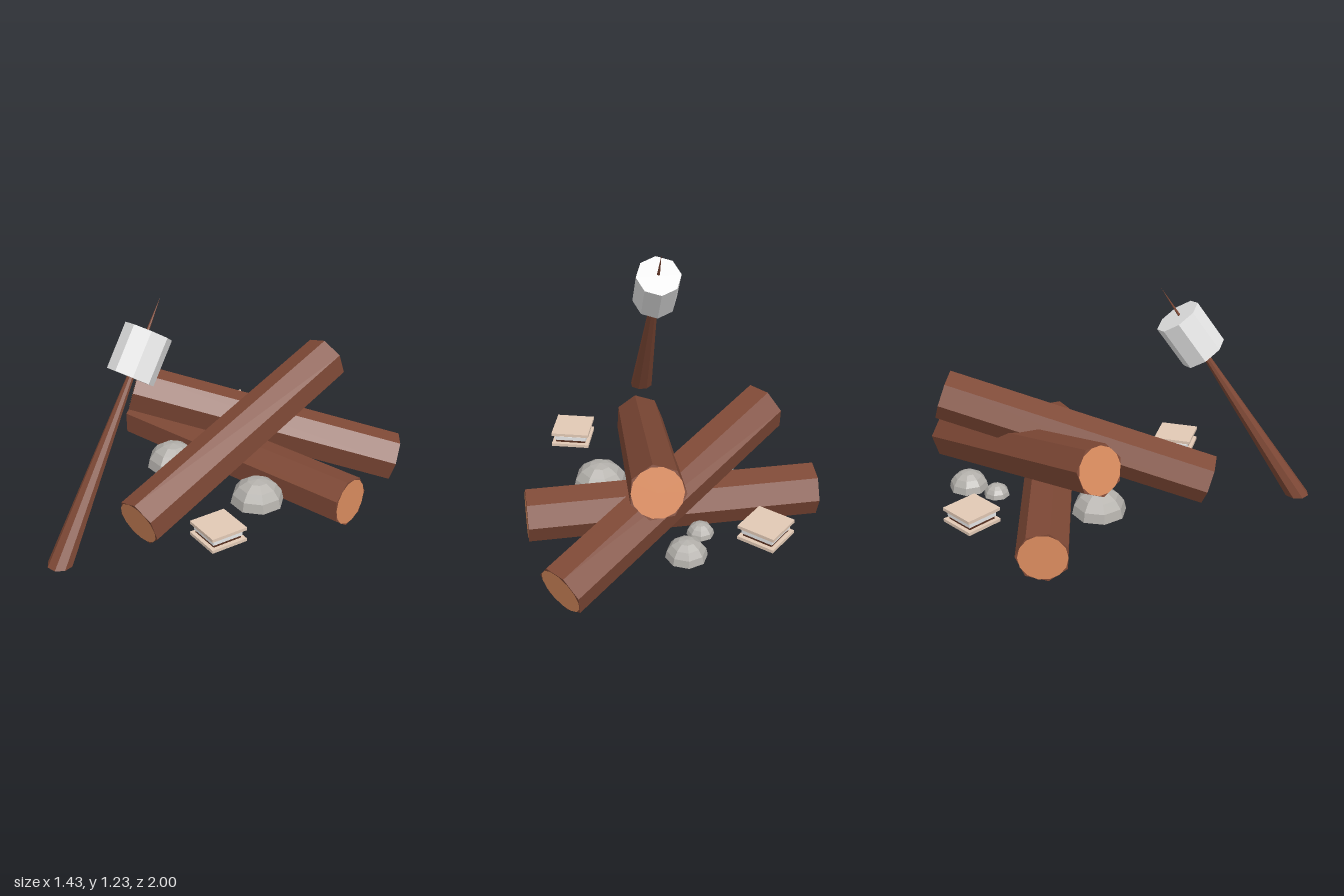
import * as THREE from 'three';

const mat = (name, color, flatShading = true) => {
  const m = new THREE.MeshStandardMaterial({ color, flatShading });
  m.name = name;
  return m;
};

export function createModel() {
  const root = new THREE.Group();
  const bark = mat('bark brown', 0x7f4936);
  const wood = mat('cut wood', 0xdc8d5f);
  const white = mat('marshmallow white', 0xf2f2f2);
  const stone = mat('stone grey', 0xb3b0ab);
  const cracker = mat('cracker tan', 0xe2c9b5);
  const chocolate = mat('chocolate', 0x5a3222);

  const add = (parent, name, geometry, material, x = 0, y = 0, z = 0) => {
    const m = new THREE.Mesh(geometry, material);
    m.name = name;
    m.position.set(x, y, z);
    parent.add(m);
    return m;
  };

  // Seven-sided logs with pale cut ends, laid between two points
  const log = (name, from, to, turn) => {
    const a = new THREE.Vector3(...from), b = new THREE.Vector3(...to);
    const dir = b.clone().sub(a), length = dir.length();
    dir.normalize();
    const side = new THREE.Vector3(-dir.z, 0, dir.x).normalize();
    const up = side.clone().cross(dir);
    const g = new THREE.Group();
    g.name = name;
    g.quaternion.setFromRotationMatrix(new THREE.Matrix4().makeBasis(side, dir, up));
    g.position.copy(a).add(b).multiplyScalar(0.5);
    const start = THREE.MathUtils.degToRad(turn);
    add(g, 'logBark', new THREE.CylinderGeometry(0.13, 0.13, length, 7, 1, false, start), bark);
    for (const s of [-1, 1]) {
      const cap = new THREE.CircleGeometry(0.119, 14).rotateX(-s * Math.PI / 2);
      add(g, 'cutEnd', cap, wood, 0, s * (length / 2 + 0.002), 0);
    }
    root.add(g);
  };
  log('crossLog', [-0.715, 0.161, -0.328], [0.715, 0.161, -0.328], 15);
  log('diagonalLog', [-0.505, 0.5, -0.065], [0.605, 0.131, -0.895], 180);
  log('topLog', [0.04, 0.155, 0.495], [0.16, 0.59, -0.865], 8.6);

  // Tapered stick leaning back: a cone sheared so its base stays level
  const height = 1.12, lean = -0.717;
  const stick = new THREE.ConeGeometry(0.062, height, 8, 1, false, Math.PI / 8);
  stick.translate(0, height / 2, 0);
  const p = stick.attributes.position;
  for (let i = 0; i < p.count; i++) p.setZ(i, p.getZ(i) + lean * p.getY(i) / height);
  stick.computeVertexNormals();
  add(root, 'roastingStick', stick, bark, -0.04, 0.115, 0.942);

  // Marshmallow skewered near the tip
  const mallow = add(root, 'marshmallow', new THREE.CylinderGeometry(0.117, 0.117, 0.23, 8), white,
    -0.04, 0.993, 0.374);
  mallow.rotation.x = -0.61;

  // Half-round stones with flat undersides
  const rocks = [
    [-0.24, 0.13, -0.07, 0.137], [0.325, 0.13, -0.075, 0.137], [-0.05, 0.135, -0.07, 0.07],
    [0.005, 0.135, -0.74, 0.1], [-0.09, 0.142, -0.59, 0.066],
  ];
  rocks.forEach(([x, y, z, r], i) => {
    const g = new THREE.Group();
    g.name = 'stone';
    g.position.set(x, y, z);
    g.rotation.y = i * 0.7 + 0.2;
    add(g, 'stoneDome', new THREE.SphereGeometry(r, 8, 4, 0, Math.PI * 2, 0, Math.PI / 2)
      .scale(1, 0.92, 1), stone);
    add(g, 'stoneBase', new THREE.CircleGeometry(r, 8).rotateX(Math.PI / 2), stone);
    root.add(g);
  });

  // Layered cracker sandwiches: [name, side, thickness, centre height, material]
  const layers = [
    ['lowerCracker', 0.195, 0.016, 0.168, cracker],
    ['chocolateLayer', 0.155, 0.014, 0.183, chocolate],
    ['marshmallowLayer', 0.165, 0.02, 0.2, white],
    ['chocolateTop', 0.14, 0.012, 0.216, chocolate],
    ['upperCracker', 0.195, 0.016, 0.229, cracker],
  ];
  for (const [x, z, turn] of [[0.42, 0.345, -0.28], [-0.385, -0.685, Math.PI / 4]]) {
    const g = new THREE.Group();
    g.name = 'crackerSandwich';
    g.position.set(x, 0, z);
    g.rotation.y = turn;
    for (const [name, s, t, y, m] of layers) add(g, name, new THREE.BoxGeometry(s, t, s), m, 0, y, 0);
    root.add(g);
  }
  return root;
}
